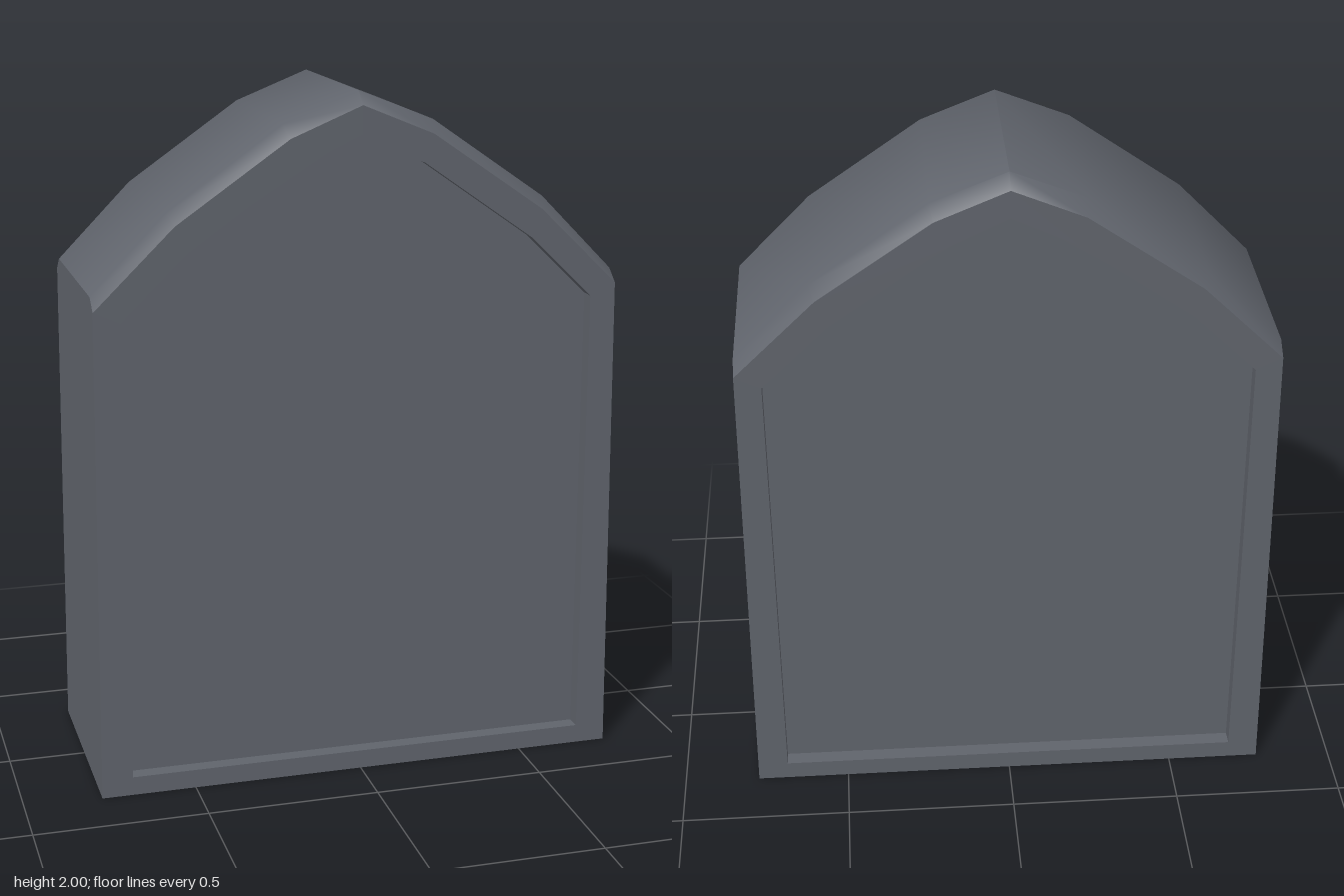
import * as THREE from 'three';
import { toCreasedNormals } from 'three/addons/utils/BufferGeometryUtils.js';

// Closed outline, counter-clockwise from the front: the right half is mirrored
function outline(half) {
  const mirrored = half.slice(0, -1).map(([x, y]) => [-x, y]).reverse();
  return [...half, ...mirrored];
}

// Skin a list of { points, z } outlines, ordered from front to back
function skin(rings) {
  const pos = [];
  for (let i = 0; i < rings.length - 1; i++) {
    const p = rings[i], q = rings[i + 1], n = p.points.length;
    for (let j = 0; j < n; j++) {
      const k = (j + 1) % n;
      const a = [...p.points[j], p.z], b = [...q.points[j], q.z];
      const c = [...q.points[k], q.z], d = [...p.points[k], p.z];
      pos.push(...a, ...b, ...c, ...a, ...c, ...d);
    }
  }
  const geo = new THREE.BufferGeometry();
  geo.setAttribute('position', new THREE.Float32BufferAttribute(pos, 3));
  return toCreasedNormals(geo, 0.72);
}

export function createModel() {
  const group = new THREE.Group();
  group.name = 'gravestone';
  const stone = new THREE.MeshStandardMaterial({ color: 0x5f636b });
  stone.name = 'dark grey stone';

  // Pointed-arch outlines, from base corner to peak
  const outer = outline([[0.775, 0], [0.76, 1.465], [0.545, 1.685], [0.215, 1.915], [0, 2]]);
  const face = outline([[0.775, 0], [0.76, 1.43], [0.53, 1.655], [0.205, 1.88], [0, 1.965]]);
  const recess = outline([[0.685, 0.055], [0.685, 1.395], [0.5, 1.575], [0.18, 1.8], [0, 1.885]]);

  // Slab with chamfered arch and a raised border on both faces
  const Z = 0.325, chamferZ = 0.28, floorZ = 0.28;
  const half = [[recess, floorZ], [recess, Z], [face, Z], [outer, chamferZ]];
  const rings = [
    ...half.map(([points, z]) => ({ points, z })),
    ...half.map(([points, z]) => ({ points, z: -z })).reverse(),
  ];
  const slab = new THREE.Mesh(skin(rings), stone);
  slab.name = 'slab';
  group.add(slab);

  // Sunken panels, front and back
  const panelGeo = new THREE.ShapeGeometry(
    new THREE.Shape(recess.map(([x, y]) => new THREE.Vector2(x, y))));
  for (const side of [1, -1]) {
    const panel = new THREE.Mesh(panelGeo, stone);
    panel.name = side > 0 ? 'frontPanel' : 'backPanel';
    panel.position.z = side * floorZ;
    panel.rotation.y = side > 0 ? 0 : Math.PI;
    group.add(panel);
  }
  return group;
}
